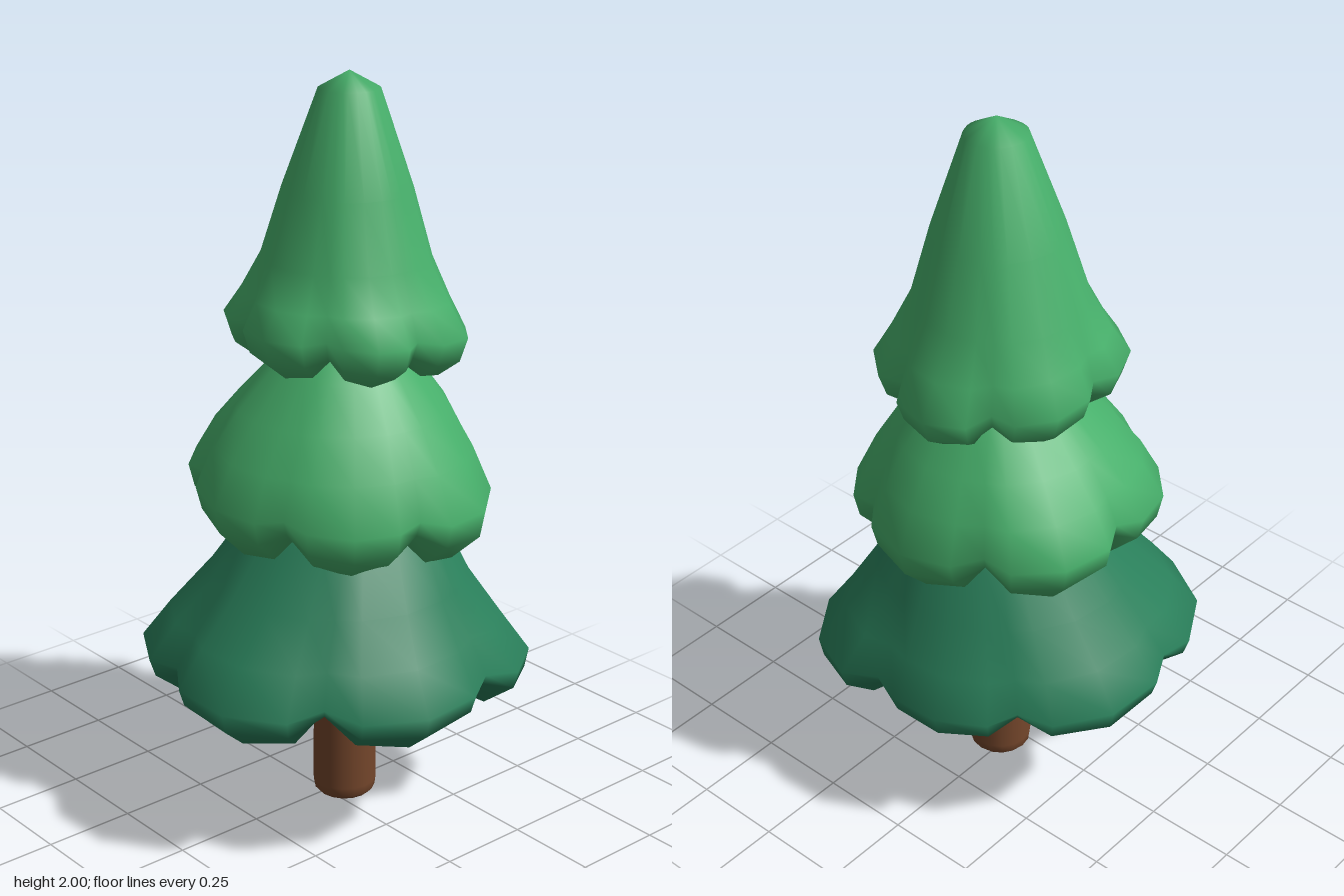
import * as THREE from 'three';
import { mergeVertices } from 'three/addons/utils/BufferGeometryUtils.js';

// Position along a lobe and bulge there: [fraction, strength], starting at the notch
const LOBE = [[0, 0], [0.18, 0.75], [0.5, 1], [0.82, 0.75]];

// Lobed skirt of foliage. Notches are angles in degrees from +x towards +z, one per lobe,
// depths are how far each notch cuts in, peaks how far each lobe bulges out.
// Each ring is [radius, y, x, z, lobe strength, notch lift].
function tierGeometry({ notches, depths, peaks, tilt, rings }) {
  const pos = [], index = [];
  const count = notches.length, n = count * LOBE.length;
  const { lerp, degToRad } = THREE.MathUtils;
  for (const [r, y, cx, cz, w, lift] of rings) {
    notches.forEach((start, i) => {
      const next = (i + 1) % count;
      const end = notches[next] + (next === 0 ? 360 : 0);
      for (const [t, s] of LOBE) {
        const a = degToRad(lerp(start, end, t));
        const R = r * (1 + w * lerp(-lerp(depths[i], depths[next], t), peaks[i], s));
        const x = R * Math.cos(a), z = R * Math.sin(a);
        pos.push(cx + x, y + lift * (1 - s) + w * (tilt[0] * x + tilt[1] * z), cz + z);
      }
    });
  }
  for (let j = 0; j < rings.length - 1; j++) {
    for (let i = 0; i < n; i++) {
      const a = j * n + i, b = j * n + (i + 1) % n;
      index.push(a, b, a + n, b, b + n, a + n);
    }
  }
  const g = new THREE.BufferGeometry();
  g.setAttribute('position', new THREE.Float32BufferAttribute(pos, 3));
  g.setIndex(index);
  const welded = mergeVertices(g, 1e-4);
  welded.computeVertexNormals();
  return welded;
}

const TIERS = {
  lowerFoliage: {
    notches: [-78, -24, 41, 103, 168, 229],
    depths: [0.05, 0.05, 0.13, 0.1, 0.08, 0.1],
    peaks: [0.125, 0.015, 0.025, 0.025, 0.01, -0.01],
    tilt: [-0.02, 0.02],
    rings: [
      [0, 1.0, 0.01, -0.05, 0, 0],
      [0.16, 0.96, 0.01, -0.05, 0, 0],
      [0.265, 0.81, 0.015, -0.045, 0, 0],
      [0.345, 0.67, 0.01, -0.025, 0.25, 0],
      [0.425, 0.55, 0, -0.01, 0.7, 0],
      [0.49, 0.445, 0, 0, 1, 0.02],
      [0.475, 0.39, 0, 0, 1.1, 0.05],
      [0.4, 0.327, 0, 0, 1.2, 0.09],
      [0.32, 0.345, 0, -0.01, 0.8, 0.08],
      [0.2, 0.43, 0.01, -0.03, 0.2, 0.02],
      [0, 0.47, 0.01, -0.05, 0, 0],
    ],
  },
  middleFoliage: {
    notches: [-54, 6, 62, 122, 180, 239],
    depths: [0.1, 0.07, 0.08, 0.1, 0.1, 0.1],
    peaks: [0.06, -0.02, 0.0, 0.02, 0.06, 0],
    tilt: [-0.08, 0],
    rings: [
      [0, 1.36, -0.01, -0.075, 0, 0],
      [0.12, 1.33, -0.01, -0.075, 0, 0],
      [0.195, 1.24, -0.01, -0.07, 0, 0],
      [0.285, 1.13, -0.015, -0.065, 0.2, 0],
      [0.35, 1.03, -0.02, -0.06, 0.6, 0],
      [0.4, 0.92, -0.02, -0.055, 1, 0.02],
      [0.385, 0.85, -0.02, -0.055, 1.1, 0.05],
      [0.31, 0.773, -0.02, -0.055, 1.2, 0.09],
      [0.24, 0.795, -0.02, -0.055, 0.7, 0.07],
      [0.14, 0.87, -0.02, -0.055, 0, 0],
      [0, 0.9, -0.02, -0.055, 0, 0],
    ],
  },
  topFoliage: {
    notches: [-65, 0, 52, 110, 170, 233],
    depths: [0.15, 0.13, 0.13, 0.12, 0.13, 0.16],
    peaks: [0.04, 0.0, 0.04, 0.06, 0.0, 0.04],
    tilt: [0, 0.08],
    rings: [
      [0, 2.0, -0.005, -0.08, 0, 0],
      [0.08, 1.955, -0.005, -0.08, 0, 0],
      [0.17, 1.7, -0.012, -0.08, 0, 0],
      [0.222, 1.52, -0.02, -0.085, 0.2, 0],
      [0.268, 1.42, -0.018, -0.085, 0.6, 0],
      [0.31, 1.34, -0.015, -0.085, 1, 0.01],
      [0.29, 1.275, -0.015, -0.085, 1, 0.03],
      [0.235, 1.23, -0.015, -0.085, 1, 0.06],
      [0.18, 1.255, -0.015, -0.085, 0.5, 0.04],
      [0, 1.31, -0.015, -0.085, 0, 0],
    ],
  },
};

export function createModel() {
  const tree = new THREE.Group();
  tree.name = 'pineTree';
  const material = (name, color) => {
    const m = new THREE.MeshStandardMaterial({ color });
    m.name = name;
    return m;
  };
  const bark = material('bark brown', 0x74462b);
  const dark = material('dark green', 0x2a805b);
  const light = material('light green', 0x47b06b);

  // Trunk with a rounded foot
  const profile = [[0, 0], [0.073, 0.003], [0.084, 0.015], [0.087, 0.04], [0.083, 0.4], [0.08, 0.6], [0, 0.6]];
  const trunk = new THREE.Mesh(
    new THREE.LatheGeometry(profile.map(([x, y]) => new THREE.Vector2(x, y)), 16), bark);
  trunk.name = 'trunk';
  trunk.position.set(0.021, 0, -0.048);
  tree.add(trunk);

  // Three tiers of branches
  for (const [name, spec] of Object.entries(TIERS)) {
    const mesh = new THREE.Mesh(tierGeometry(spec), name === 'lowerFoliage' ? dark : light);
    mesh.name = name;
    tree.add(mesh);
  }
  return tree;
}
